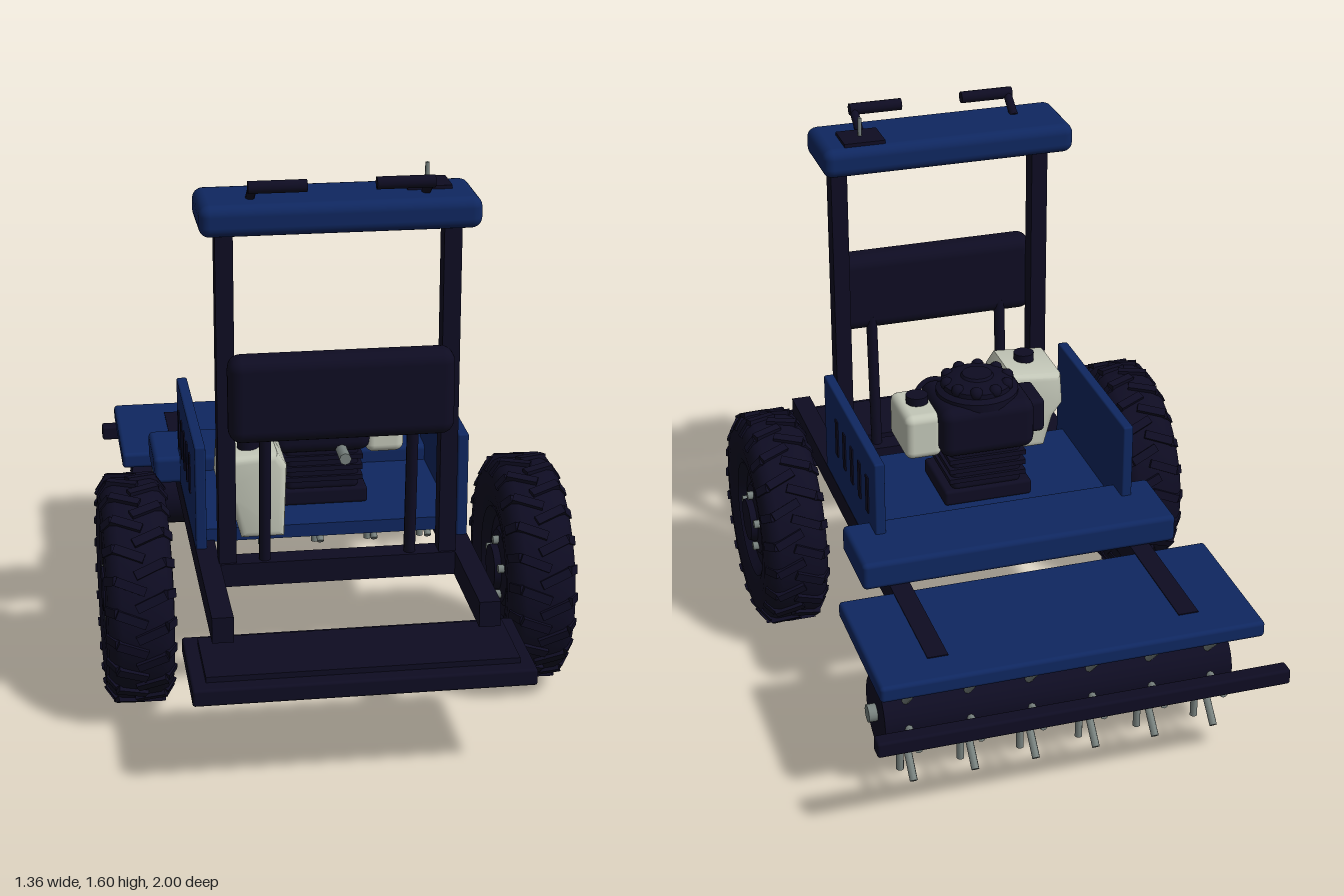
import * as THREE from 'three';
import { RoundedBoxGeometry } from 'three/addons/geometries/RoundedBoxGeometry.js';
import { toCreasedNormals } from 'three/addons/utils/BufferGeometryUtils.js';

const mat = (name, color) => {
  const m = new THREE.MeshStandardMaterial({ color });
  m.name = name;
  return m;
};

export function createModel() {
  const dark = mat('dark frame', 0x0e0c22);
  const blue = mat('blue panel', 0x0f2760);
  const cream = mat('cream plastic', 0xc3c7b8);
  const steel = mat('steel', 0x78827f);
  const model = new THREE.Group();
  model.name = 'tillerCart';

  const add = (parent, name, geo, m, x = 0, y = 0, z = 0) => {
    const mesh = new THREE.Mesh(geo, m);
    mesh.name = name;
    mesh.position.set(x, y, z);
    parent.add(mesh);
    return mesh;
  };
  // box given by its min and max on each axis, optionally rounded
  const box = (parent, name, m, x0, x1, y0, y1, z0, z1, r = 0) => {
    const [w, h, d] = [x1 - x0, y1 - y0, z1 - z0];
    const geo = r ? new RoundedBoxGeometry(w, h, d, 3, r) : new THREE.BoxGeometry(w, h, d);
    return add(parent, name, geo, m, (x0 + x1) / 2, (y0 + y1) / 2, (z0 + z1) / 2);
  };
  // round rod between two points
  const rod = (parent, name, m, a, b, r, sides = 10) => {
    const p = new THREE.Vector3(...a), q = new THREE.Vector3(...b);
    const mesh = add(parent, name, new THREE.CylinderGeometry(r, r, p.distanceTo(q), sides), m);
    mesh.position.copy(p).add(q).multiplyScalar(0.5);
    mesh.quaternion.setFromUnitVectors(new THREE.Vector3(0, 1, 0), q.sub(p).normalize());
    return mesh;
  };
  const lathe = (pts, n) =>
    toCreasedNormals(new THREE.LatheGeometry(pts.map(p => new THREE.Vector2(...p)), n), 0.6);

  // chassis
  const chassis = new THREE.Group();
  chassis.name = 'chassis';
  model.add(chassis);
  for (const s of [-1, 1]) {
    box(chassis, 'rail', dark, s * 0.37 - 0.03, s * 0.37 + 0.03, 0.39, 0.465, -0.79, 0.83);
    box(chassis, 'post', dark, s * 0.318 - 0.025, s * 0.318 + 0.025, 0.4, 1.46, 0.415, 0.472);
    box(chassis, 'sidePanel', blue, s * 0.383 - 0.016, s * 0.383 + 0.016, 0.46, 0.78, -0.245, 0.36, 0.006);
    for (let i = 0; i < 5; i++) {
      const z = 0.2 - i * 0.09;
      box(chassis, 'ventSlot', dark, s * 0.4 - 0.003, s * 0.4 + 0.003, 0.58, 0.7, z - 0.013, z + 0.013);
    }
    rod(chassis, 'backrestStrut', dark, [s * 0.21, 0.42, 0.45], [s * 0.21, 0.9, 0.485], 0.017);
  }
  box(chassis, 'crossBeam', dark, -0.4, 0.4, 0.395, 0.465, 0.41, 0.48);
  box(chassis, 'deck', blue, -0.385, 0.385, 0.46, 0.5, -0.26, 0.3);
  box(chassis, 'deckEndBlock', blue, -0.48, 0.48, 0.462, 0.548, -0.405, -0.16, 0.015);
  box(chassis, 'rollerCover', blue, -0.562, 0.562, 0.412, 0.462, -0.895, -0.43, 0.012);
  box(chassis, 'bumperBar', dark, -0.6, 0.6, 0.313, 0.36, -1, -0.952, 0.008);
  box(chassis, 'standingPlatform', dark, -0.47, 0.47, 0.287, 0.336, 0.665, 1, 0.008);
  box(chassis, 'platformMat', dark, -0.43, 0.43, 0.336, 0.352, 0.71, 0.955);
  box(chassis, 'backrest', dark, -0.318, 0.318, 0.855, 1.105, 0.47, 0.566, 0.038);

  // control console on the posts
  const consoleGroup = new THREE.Group();
  consoleGroup.name = 'console';
  model.add(consoleGroup);
  box(consoleGroup, 'consoleBar', blue, -0.39, 0.388, 1.445, 1.535, 0.3, 0.542, 0.03);
  box(consoleGroup, 'controlPlate', dark, 0.195, 0.32, 1.53, 1.545, 0.325, 0.435);
  rod(consoleGroup, 'controlStick', steel, [0.258, 1.54, 0.385], [0.258, 1.6, 0.385], 0.006);
  for (const s of [-1, 1]) {
    rod(consoleGroup, 'handleStem', dark, [s * 0.243, 1.53, 0.445], [s * 0.243, 1.58, 0.515], 0.013);
    rod(consoleGroup, 'handleGrip', dark, [s * 0.256, 1.58, 0.515], [s * 0.095, 1.58, 0.515], 0.018, 12);
  }

  // wheels: tyre, sunken rim, hub, nuts and slanted tread blocks
  const tyre = lathe([[0.17, -0.075], [0.195, -0.09], [0.25, -0.097], [0.292, -0.093], [0.314, -0.076],
    [0.324, -0.055], [0.324, 0.055], [0.314, 0.076], [0.292, 0.093], [0.25, 0.097], [0.195, 0.09], [0.17, 0.075]], 48);
  const rim = lathe([[0, -0.095], [0.065, -0.095], [0.07, -0.075], [0.11, -0.07], [0.12, -0.06], [0.155, -0.06],
    [0.18, -0.085], [0.18, 0.085], [0.155, 0.06], [0.12, 0.06], [0.11, 0.07], [0.07, 0.075], [0.065, 0.095], [0, 0.095]], 40);
  const lug = new THREE.BoxGeometry(0.09, 0.024, 0.026);
  const shoulder = new THREE.BoxGeometry(0.02, 0.045, 0.026);
  for (const s of [-1, 1]) {
    const wheel = new THREE.Group();
    wheel.name = s > 0 ? 'leftWheel' : 'rightWheel';
    wheel.position.set(s * 0.577, 0.336, 0.312);
    model.add(wheel);
    add(wheel, 'tyre', tyre, dark).rotation.z = -Math.PI / 2;
    add(wheel, 'rim', rim, dark).rotation.z = -Math.PI / 2;
    for (let i = 0; i < 5; i++) {
      const a = (i / 5) * Math.PI * 2;
      const [y, z] = [Math.cos(a) * 0.085, Math.sin(a) * 0.085];
      rod(wheel, 'wheelNut', steel, [-0.09, y, z], [0.09, y, z], 0.013, 6);
    }
    for (let i = 0; i < 44; i++) {
      const side = i % 2 ? 1 : -1;
      const spoke = new THREE.Group();
      spoke.name = 'treadBlock';
      spoke.rotation.x = (i / 44) * Math.PI * 2;
      add(spoke, 'lug', lug, dark, side * 0.028, 0.322, 0).rotation.y = side * 0.4;
      add(spoke, 'shoulderLug', shoulder, dark, side * 0.08, 0.3, -0.018).rotation.z = side * 0.6;
      wheel.add(spoke);
    }
  }

  // spiked roller
  const roller = new THREE.Group();
  roller.name = 'spikedRoller';
  roller.position.set(0, 0.23, -0.67);
  model.add(roller);
  rod(roller, 'drum', dark, [-0.52, 0, 0], [0.52, 0, 0], 0.106, 32);
  rod(roller, 'drumShaft', steel, [-0.545, 0, 0], [0.545, 0, 0], 0.026, 16);
  for (let r = 0; r < 6; r++)
    for (let i = 0; i < 8; i++) {
      const x = -0.452 + r * 0.1808, c = Math.cos(i * Math.PI / 4), n = Math.sin(i * Math.PI / 4);
      rod(roller, 'spike', steel, [x, c * 0.09, n * 0.09], [x, c * 0.21, n * 0.21], 0.0115, 8);
    }

  // engine
  const engine = new THREE.Group();
  engine.name = 'engine';
  model.add(engine);
  box(engine, 'engineBase', dark, -0.14, 0.135, 0.5, 0.55, -0.07, 0.16, 0.01);
  box(engine, 'crankcase', dark, -0.11, 0.11, 0.54, 0.68, -0.06, 0.15, 0.02);
  for (let i = 0; i < 3; i++)
    box(engine, 'coolingFin', dark, -0.12, 0.12, 0.575 + i * 0.033, 0.59 + i * 0.033, -0.07, 0.16);
  box(engine, 'engineShroud', dark, -0.148, 0.145, 0.665, 0.825, -0.085, 0.172, 0.035);
  box(engine, 'exhaustBox', dark, -0.205, -0.12, 0.67, 0.78, 0, 0.14, 0.015);
  add(engine, 'recoilStarter', lathe([[0.125, 0], [0.125, 0.025], [0.108, 0.035], [0.108, 0.05],
    [0.085, 0.062], [0.05, 0.064], [0.045, 0.072], [0, 0.072]], 32), dark, 0, 0.81, 0.042);
  for (let i = 0; i < 10; i++) {
    const a = (i / 10) * Math.PI * 2;
    add(engine, 'starterKnob', new THREE.SphereGeometry(0.02, 10, 8), dark,
      Math.cos(a) * 0.095, 0.86, 0.042 + Math.sin(a) * 0.095);
  }
  rod(engine, 'drainPlug', steel, [0.055, 0.675, 0.14], [0.055, 0.675, 0.245], 0.018, 8);
  box(engine, 'airFilter', cream, 0.13, 0.245, 0.655, 0.8, -0.038, 0.16, 0.025);
  rod(engine, 'airFilterCap', dark, [0.182, 0.79, 0.065], [0.182, 0.825, 0.065], 0.034, 16);
  add(engine, 'fuelLine', new THREE.TubeGeometry(new THREE.CatmullRomCurve3([
    new THREE.Vector3(0.07, 0.84, 0.1), new THREE.Vector3(0.13, 0.845, 0.11),
    new THREE.Vector3(0.17, 0.82, 0.1), new THREE.Vector3(0.182, 0.79, 0.08)]), 16, 0.008, 8), dark);

  // fuel tank, narrower at the foot
  const outline = new THREE.Shape([[-0.255, 0.53], [-0.165, 0.53], [-0.158, 0.72], [-0.175, 0.745],
    [-0.305, 0.735], [-0.31, 0.66], [-0.28, 0.62]].map(p => new THREE.Vector2(...p)));
  const tankGeo = toCreasedNormals(new THREE.ExtrudeGeometry(outline, {
    depth: 0.18, bevelSize: 0.02, bevelThickness: 0.02, bevelSegments: 3 }), 0.7);
  add(model, 'fuelTank', tankGeo, cream, 0, 0, 0.21);
  rod(model, 'fuelCap', dark, [-0.24, 0.75, 0.32], [-0.24, 0.785, 0.32], 0.032, 16);

  return model;
}
